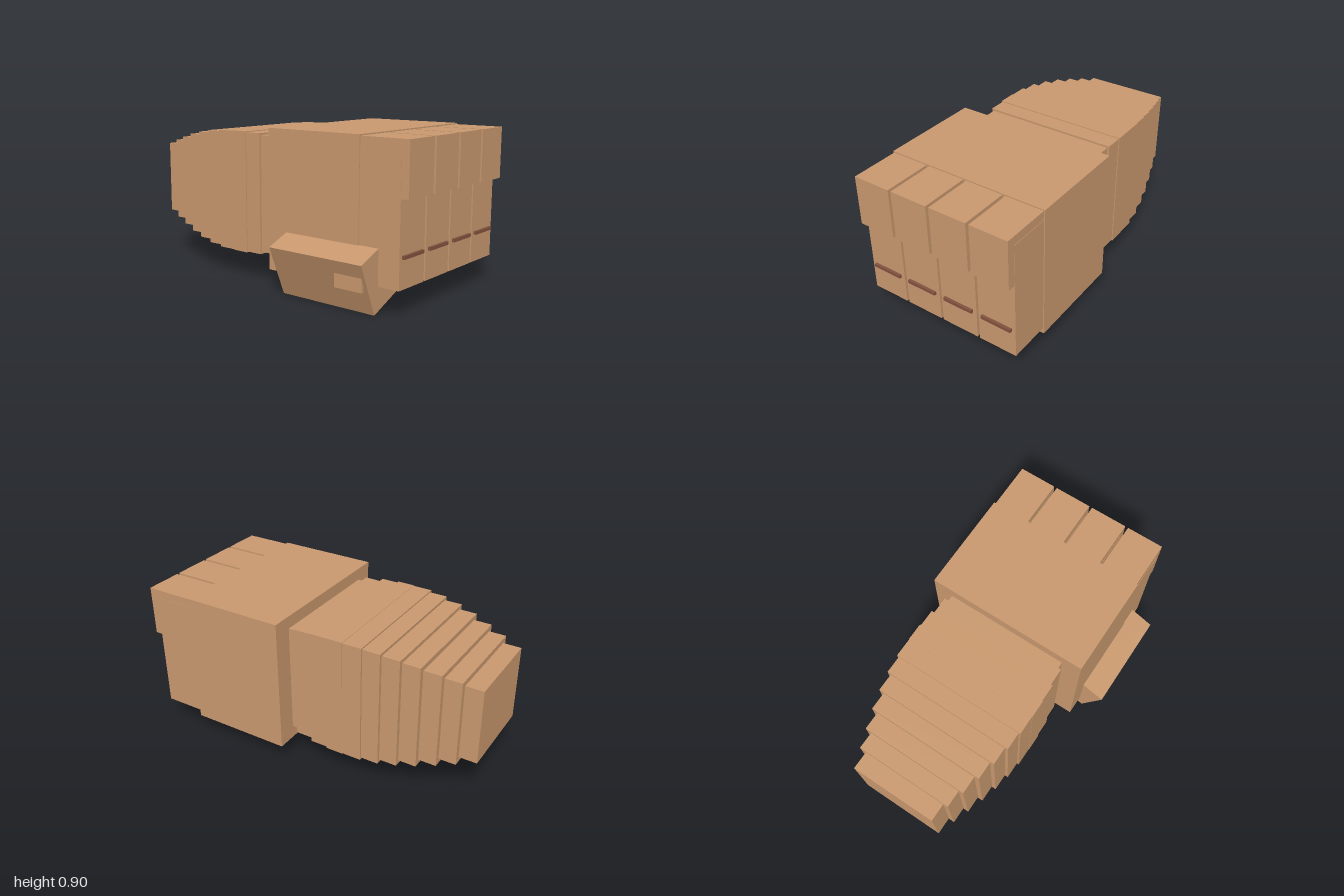
import * as THREE from 'three';

export function createModel() {
  const model = new THREE.Group();
  const skin = new THREE.MeshStandardMaterial({ color: 0xc8986e });
  skin.name = 'skin';
  const nail = new THREE.MeshStandardMaterial({ color: 0x83523e });
  nail.name = 'nail';

  // Box given by its extents on each axis
  function block(name, [x0, x1], [y0, y1], [z0, z1], material = skin, parent = model) {
    const mesh = new THREE.Mesh(new THREE.BoxGeometry(x1 - x0, y1 - y0, z1 - z0), material);
    mesh.position.set((x0 + x1) / 2, (y0 + y1) / 2, (z0 + z1) / 2);
    mesh.name = name;
    parent.add(mesh);
    return mesh;
  }

  block('palm', [-0.42, 0.555], [0.11, 0.904], [0.1, 0.71]);

  // Four curled fingers, each with a knuckle, a folded segment and a nail
  for (let i = 0; i < 4; i++) {
    const cx = -0.3 + i * 0.2447;
    const finger = new THREE.Group();
    finger.name = 'finger' + (i + 1);
    block('knuckle', [cx - 0.113, cx + 0.113], [0.605, 0.897], [0.7, 1], skin, finger);
    block('foldedSegment', [cx - 0.115, cx + 0.115], [0.145, 0.845], [0.7, 0.955], skin, finger);
    block('fingernail', [cx - 0.092, cx + 0.092], [0.302, 0.321], [0.95, 0.97], nail, finger);
    model.add(finger);
  }

  // Thumb, rolled around the lower right edge of the palm
  const thumb = block('thumb', [-0.512, -0.208], [0.048, 0.352], [0.225, 0.83]);
  thumb.rotation.z = 0.394;
  block('thumbnail', [-0.528, -0.51], [0.133, 0.22], [0.64, 0.81]);

  // Forearm in stepped slices: half width, half height, front z
  const slices = [
    [0.371, 0.323, 0.11], [0.39, 0.34, 0.058], [0.403, 0.352, -0.05], [0.408, 0.357, -0.155],
    [0.406, 0.355, -0.26], [0.395, 0.346, -0.375], [0.376, 0.33, -0.48], [0.351, 0.309, -0.585],
    [0.321, 0.282, -0.69], [0.29, 0.254, -0.795], [0.257, 0.224, -0.895],
  ];
  const forearm = new THREE.Group();
  forearm.name = 'forearm';
  slices.forEach(([w, h, z], i) => {
    const back = i + 1 < slices.length ? slices[i + 1][2] : -1;
    block('armSlice' + (i + 1), [0.068 - w, 0.068 + w], [0.508 - h, 0.508 + h], [back, z], skin, forearm);
  });
  model.add(forearm);

  return model;
}
